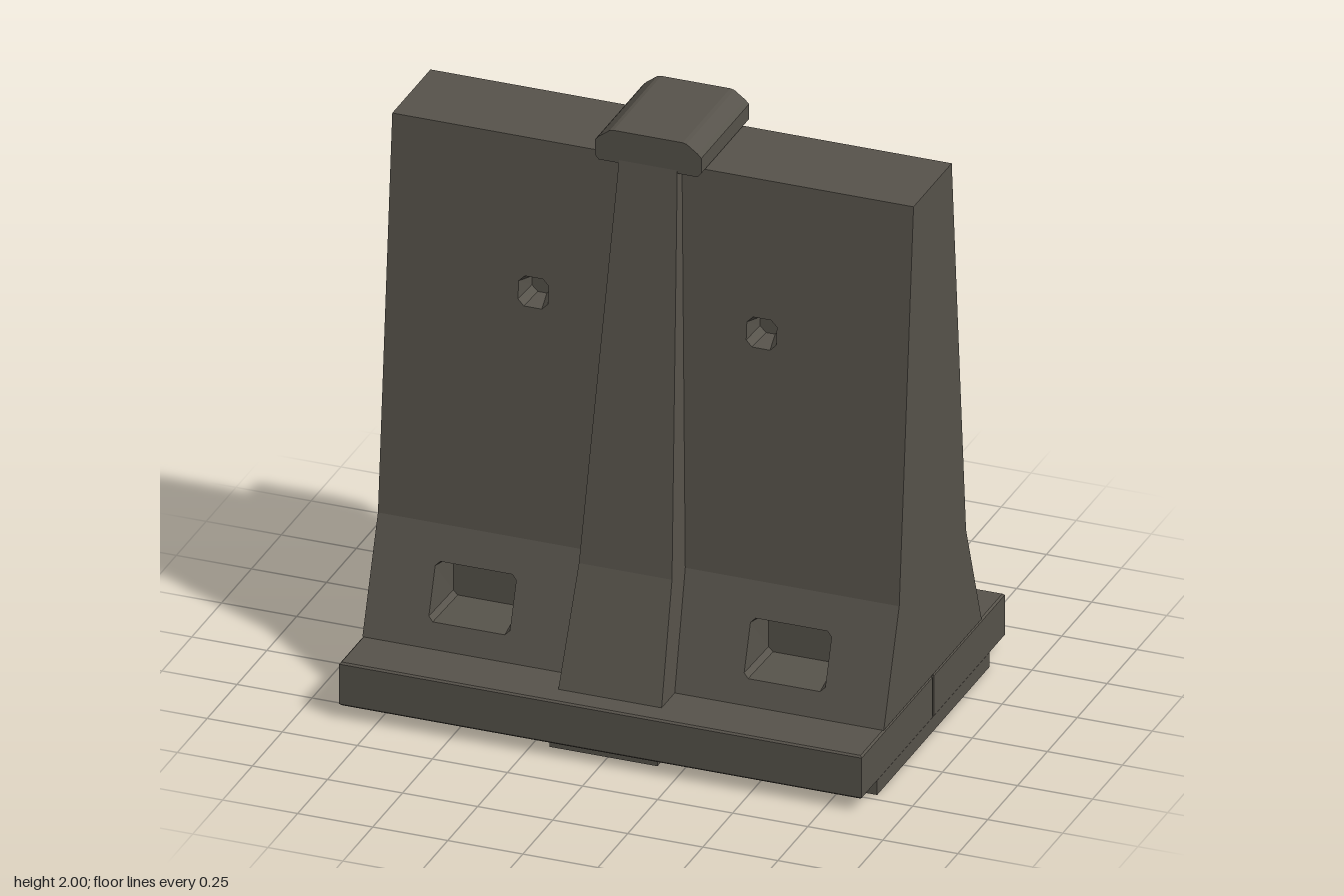
import * as THREE from 'three';

const concrete = new THREE.MeshStandardMaterial({ color: 0x57534b });
concrete.name = 'concrete';

const HALF = 0.868;                                   // half length of the wall
const PROFILE = [[0.2, 0.41], [0.57, 0.28], [1.9, 0.16]]; // [height, half depth]

// half depth of the sloping wall at height y
function depthAt(y) {
  const i = y <= PROFILE[1][0] ? 0 : 1;
  const [y0, z0] = PROFILE[i], [y1, z1] = PROFILE[i + 1];
  return z0 + (z1 - z0) * (y - y0) / (y1 - y0);
}

function addMesh(parent, name, geometry) {
  const mesh = new THREE.Mesh(geometry, concrete);
  mesh.name = name;
  parent.add(mesh);
  return mesh;
}

function faceted(geometry) {
  const g = geometry.index ? geometry.toNonIndexed() : geometry;
  g.computeVertexNormals();
  return g;
}

// counter-clockwise rectangle with cut corners
function outline(cx, cy, w, h, c) {
  const x = w / 2, y = h / 2;
  return [[-x + c, -y], [x - c, -y], [x, -y + c], [x, y - c], [x - c, y], [-x + c, y], [-x, y - c], [-x, -y + c]]
    .map(([a, b]) => new THREE.Vector2(cx + a, cy + b));
}

// sloping panel with openings
function panel(y0, y1, holes) {
  const shape = new THREE.Shape([[-HALF, y0], [HALF, y0], [HALF, y1], [-HALF, y1]].map(p => new THREE.Vector2(...p)));
  holes.forEach(h => shape.holes.push(new THREE.Path(h)));
  const g = new THREE.ShapeGeometry(shape);
  const p = g.attributes.position;
  for (let i = 0; i < p.count; i++) p.setZ(i, depthAt(p.getY(i)));
  return faceted(g);
}

// recess walls run from the sloping face to an upright back
function addPocket(parent, name, [cx, cy, w, h, c], backZ) {
  const pocket = new THREE.Group();
  pocket.name = name;
  parent.add(pocket);
  const front = outline(cx, cy, w, h, c), back = outline(cx, cy, w - 0.03, h - 0.03, c);
  const v = [];
  front.forEach((a, i) => {
    const j = (i + 1) % front.length, b = front[j], a2 = back[i], b2 = back[j];
    const A = [a.x, a.y, depthAt(a.y)], B = [b.x, b.y, depthAt(b.y)];
    const A2 = [a2.x, a2.y, backZ], B2 = [b2.x, b2.y, backZ];
    v.push(...A, ...B, ...B2, ...A, ...B2, ...A2);
  });
  const walls = new THREE.BufferGeometry();
  walls.setAttribute('position', new THREE.Float32BufferAttribute(v, 3));
  addMesh(pocket, name + 'Walls', faceted(walls));
  addMesh(pocket, name + 'Back', new THREE.ShapeGeometry(new THREE.Shape(back)).translate(0, 0, backZ));
}

// one long side: panels, recesses and tapering rib
function makeSide(name) {
  const side = new THREE.Group();
  side.name = name;
  const large = [-1, 1].map(s => [s * 0.525, 0.37, 0.27, 0.18, 0.015]);
  const small = [-1, 1].map(s => [s * 0.38, 1.39, 0.1, 0.1, 0.02]);
  addMesh(side, 'lowerPanel', panel(0.2, 0.57, large.map(p => outline(...p))));
  addMesh(side, 'upperPanel', panel(0.57, 1.9, small.map(p => outline(...p))));
  large.forEach(p => addPocket(side, 'liftingPocket', p, 0.21));
  small.forEach(p => addPocket(side, 'anchorRecess', p, 0.13));

  const levels = [[0.2, 0.172, 0.52], [0.58, 0.155, 0.39], [1.9, 0.097, 0.2]]; // height, half width, depth
  const rib = new THREE.BoxGeometry(2, 2, 2, 1, 2, 1);
  const p = rib.attributes.position;
  for (let i = 0; i < p.count; i++) {
    const [y, w, z] = levels[Math.round(p.getY(i)) + 1];
    p.setXYZ(i, p.getX(i) * w, y, p.getZ(i) > 0 ? z : 0.1);
  }
  addMesh(side, 'rib', faceted(rib));
  return side;
}

export function createModel() {
  const model = new THREE.Group();
  model.name = 'wallSection';

  // both long sides
  const front = makeSide('frontSide');
  const rear = makeSide('rearSide');
  rear.rotation.y = Math.PI;
  model.add(front, rear);

  // flat ends and top of the wall
  const section = [...PROFILE.map(([y, z]) => new THREE.Vector2(z, y)),
    ...PROFILE.slice().reverse().map(([y, z]) => new THREE.Vector2(-z, y))];
  for (const s of [-1, 1]) {
    const end = new THREE.ShapeGeometry(new THREE.Shape(section));
    addMesh(model, s > 0 ? 'leftEnd' : 'rightEnd', end.rotateY(s * Math.PI / 2).translate(s * HALF, 0, 0));
  }
  addMesh(model, 'wallTop', new THREE.PlaneGeometry(2 * HALF, 0.32).rotateX(-Math.PI / 2).translate(0, 1.9, 0));

  // footing with a narrow notch in one end
  const b = 0.006, X = 0.87 - b, Z = 0.6 - b;
  const plan = new THREE.Shape([[-X, -Z], [X, -Z], [X, -0.012], [X - 0.012, -0.012], [X - 0.012, 0.012], [X, 0.012], [X, Z], [-X, Z]]
    .map(p => new THREE.Vector2(...p)));
  const footing = new THREE.ExtrudeGeometry(plan, { depth: 0.15 - 2 * b, bevelSize: b, bevelThickness: b, bevelSegments: 1 });
  addMesh(model, 'footing', footing.rotateX(-Math.PI / 2).translate(0, 0.05 + b, 0));

  // underside plate and central tab
  addMesh(model, 'basePlate', new THREE.BoxGeometry(1.74, 0.05, 0.94).translate(0, 0.03, 0));
  addMesh(model, 'baseTab', new THREE.BoxGeometry(0.36, 0.03, 1.15).translate(0, 0.04, 0));

  // chamfered cap over the ribs
  const capShape = new THREE.Shape([[-0.165, 1.89], [0.165, 1.89], [0.177, 1.905], [0.177, 1.957], [0.165, 1.97], [0.128, 1.997],
    [0.115, 2], [-0.115, 2], [-0.128, 1.997], [-0.165, 1.97], [-0.177, 1.957], [-0.177, 1.905]].map(p => new THREE.Vector2(...p)));
  const cap = new THREE.ExtrudeGeometry(capShape, { depth: 0.4, bevelEnabled: false });
  addMesh(model, 'cap', cap.translate(0, 0, -0.2));

  return model;
}
